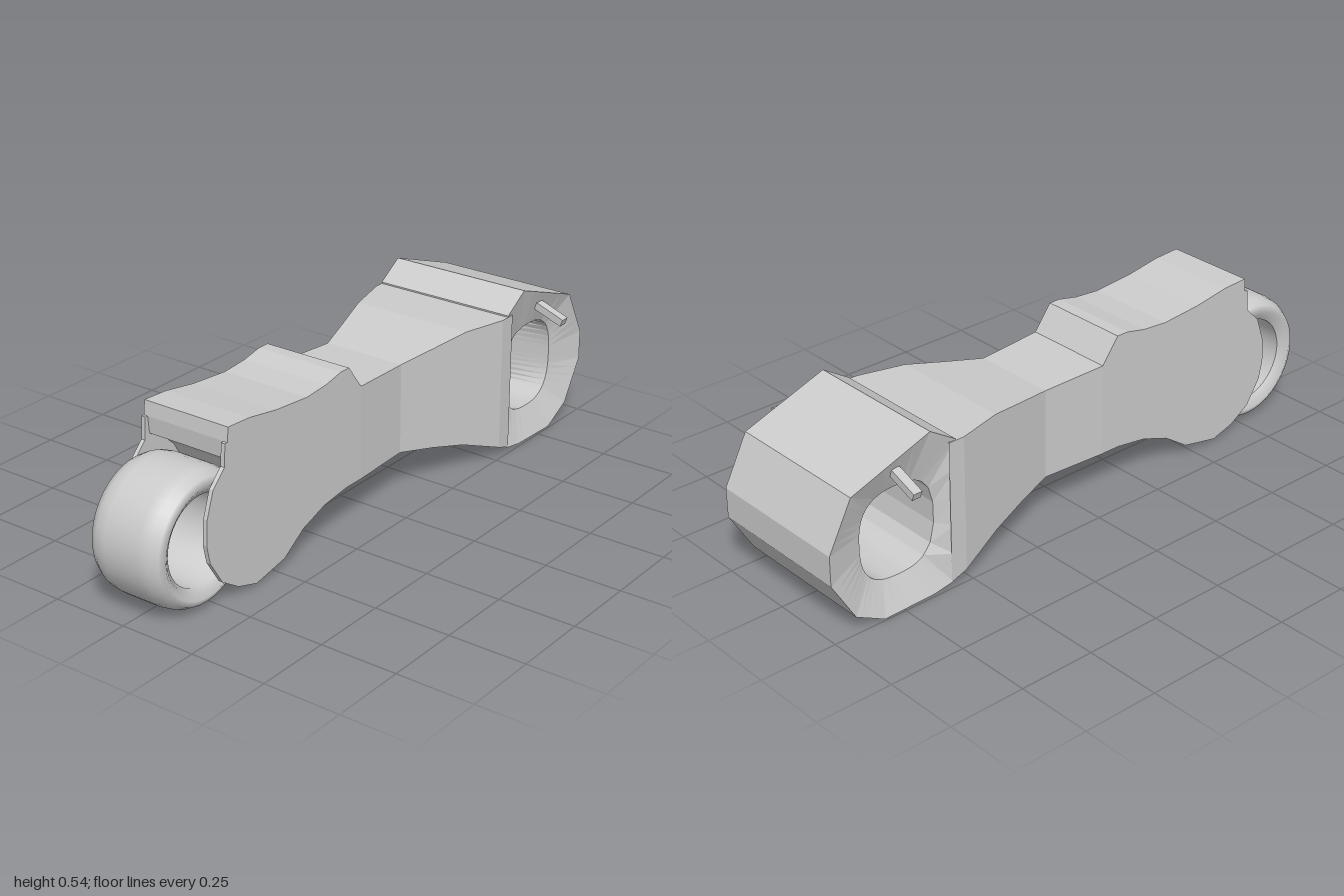
import * as THREE from 'three';

const material = new THREE.MeshStandardMaterial({ color: 0xcccccc, flatShading: true });
const smooth = new THREE.MeshStandardMaterial({ color: 0xcccccc, side: THREE.DoubleSide });

function add(group, name, geometry, mat = material) {
  const mesh = new THREE.Mesh(geometry, mat);
  mesh.name = name;
  group.add(mesh);
  return mesh;
}

// Joins equal-length closed rings of [x, y, z] points with quads
function loft(rings, closed = false) {
  const n = rings[0].length, index = [];
  const strips = closed ? rings.length : rings.length - 1;
  for (let i = 0; i < strips; i++) {
    const a = i * n, b = ((i + 1) % rings.length) * n;
    for (let j = 0; j < n; j++) {
      const k = (j + 1) % n;
      index.push(a + j, a + k, b + j, a + k, b + k, b + j);
    }
  }
  let g = new THREE.BufferGeometry();
  g.setAttribute('position', new THREE.Float32BufferAttribute(rings.flat(2), 3));
  g.setIndex(index);
  g = g.toNonIndexed();
  g.computeVertexNormals();
  return g;
}

// Flat plate from an outline, spanning z0 to z1
function plate(points, z0, z1) {
  const shape = new THREE.Shape(points.map(([x, y]) => new THREE.Vector2(x, y)));
  return new THREE.ExtrudeGeometry(shape, { depth: z1 - z0, bevelEnabled: false }).translate(0, 0, z0);
}

export function createModel() {
  const model = new THREE.Group();
  model.name = 'rollerRockerArm';

  // Fork head: solid core with a roller pocket, between two thin cheeks
  const headTop = [
    [-0.1, 0.145], [-0.1, 0.45], [-0.16, 0.53], [-0.2, 0.53], [-0.27, 0.515],
    [-0.36, 0.508], [-0.5, 0.52], [-0.62, 0.54], [-0.71, 0.545], [-0.715, 0.5]];
  const headBottom = [[-0.47, 0.035], [-0.38, 0.095], [-0.28, 0.13], [-0.17, 0.145]];
  const cheekEnd = [
    [-0.725, 0.5], [-0.73, 0.43], [-0.78, 0.38], [-0.808, 0.3], [-0.813, 0.22], [-0.8, 0.16],
    [-0.75, 0.08], [-0.68, 0.035], [-0.6, 0.01], [-0.53, 0.023]];
  const pocket = [
    [-0.71, 0.445], [-0.66, 0.42], [-0.61, 0.375], [-0.565, 0.3], [-0.55, 0.22], [-0.51, 0.13]];
  add(model, 'headCore', plate([...headTop, ...pocket, ...headBottom], -0.138, 0.138));
  for (const [name, z] of [['frontCheek', 0.138], ['backCheek', -0.152]])
    add(model, name, plate([...headTop, ...cheekEnd, ...headBottom], z, z + 0.014));

  // Neck widening toward the pivot: x, bottom, top, half width
  const stations = [
    [-0.1, 0.145, 0.45, 0.152], [0.12, 0.145, 0.44, 0.14], [0.25, 0.122, 0.46, 0.174],
    [0.37, 0.095, 0.48, 0.206], [0.52, 0.04, 0.48, 0.245], [0.575, 0.02, 0.48, 0.245]];
  add(model, 'neck', loft(stations.map(([x, b, t, w]) =>
    [[x, b, -w], [x, t, -w], [x, t, w], [x, b, w]])));

  // Pivot end: faceted block whose faces dish inward to a through hole
  const corners = [
    [0.64, 0.542], [0.55, 0.485], [0.57, 0.02], [0.64, 0.008], [0.82, 0.003],
    [0.92, 0.055], [1, 0.19], [1, 0.287], [0.92, 0.442]];
  const outline = [];
  corners.forEach(([x, y], i) => {
    const [u, v] = corners[(i + 1) % corners.length];
    for (let s = 0; s < 5; s++) outline.push([x + (u - x) * s / 5, y + (v - y) * s / 5]);
  });
  const cx = 0.737, cy = 0.245;
  const hole = outline.map(([x, y]) => {
    const dx = x - cx, dy = y - cy;
    const r = (Math.abs(dx / 0.132) ** 2.7 + Math.abs(dy / 0.145) ** 2.7) ** (-1 / 2.7);
    return [cx + dx * r, cy + dy * r];
  });
  const at = (points, z) => points.map(([x, y]) => [x, y, z]);
  const waist = hole.map(([x, y]) => [Math.min(x, 0.835), y]);
  add(model, 'pivotBlock', loft([
    at(outline, 0.245), at(hole, 0.205), at(waist, 0), at(hole, -0.205), at(outline, -0.245)], true));

  // Small sloping pins above the hole
  for (const s of [1, -1]) {
    const pin = add(model, s > 0 ? 'frontPin' : 'backPin', new THREE.BoxGeometry(0.03, 0.025, 0.14));
    pin.position.set(0.755, 0.442, s * 0.26);
    pin.rotation.x = s * 0.36;
  }

  // Roller ring with rounded shoulders
  const profile = [
    [0.14, -0.11], [0.172, -0.132], [0.192, -0.122], [0.207, -0.095], [0.212, -0.06],
    [0.212, 0.06], [0.207, 0.095], [0.192, 0.122], [0.172, 0.132], [0.14, 0.11], [0.14, -0.11]];
  const roller = add(model, 'roller', new THREE.LatheGeometry(
    profile.map(([r, h]) => new THREE.Vector2(r, h)), 40), smooth);
  roller.rotation.x = Math.PI / 2;
  roller.position.set(-0.788, 0.216, 0);

  return model;
}
